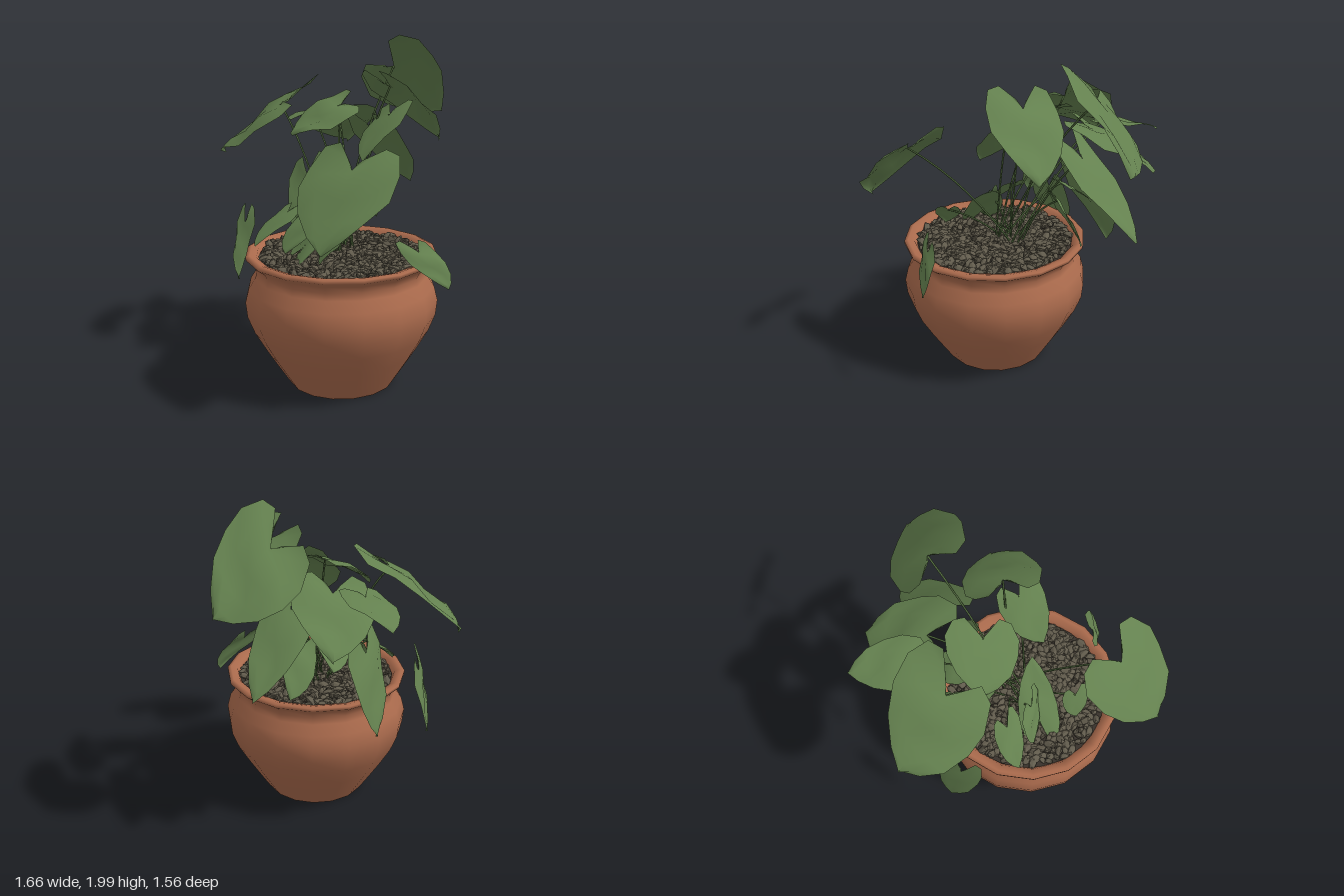
import * as THREE from 'three';
import { mergeGeometries } from 'three/addons/utils/BufferGeometryUtils.js';

const V = (x, y, z) => new THREE.Vector3(x, y, z);
const POT = { x: 0.11, z: 0.22 };

// Each leaf: notch point, tip point, half-width vector
const upperLeaves = [
  [-0.2, 1.78, -0.4, -0.17, 1.47, -0.77, 0.21, 0.18, -0.02],
  [0.11, 1.71, -0.13, 0.19, 1.38, -0.44, 0.21, 0.03, 0.04],
  [-0.2, 1.4, -0.26, -0.32, 1.0, -0.64, 0.15, 0.02, -0.05],
  [-0.36, 1.5, -0.1, -0.64, 1.26, -0.36, 0.15, 0.04, -0.17],
  [0.55, 1.37, 0.46, 0.68, 1.0, 0.75, 0.25, 0, -0.11],
  [-0.52, 1.5, -0.01, -0.83, 1.42, -0.12, 0.04, 0.03, -0.14],
  [-0.42, 1.58, 0.28, -0.8, 1.26, 0.46, 0.1, -0.12, 0.25],
  [-0.11, 1.59, 0.08, -0.23, 1.43, 0.33, 0.18, -0.05, 0.08],
  [0.18, 1.56, -0.07, 0.23, 1.33, 0.16, 0.13, 0.04, -0.03],
];
const lowerLeaves = [
  [-0.45, 1.12, 0.08, -0.6, 0.67, 0.03, 0.05, 0, 0.17],
  [-0.47, 0.88, 0.52, -0.55, 0.5, 0.53, 0.08, 0.04, 0.1],
  [0.63, 0.88, 0.07, 0.73, 0.67, -0.06, -0.02, 0.01, 0.11],
  [-0.12, 1.1, -0.12, -0.2, 0.85, -0.27, 0.06, 0.08, -0.08],
  [0.05, 1.0, 0.38, 0, 0.8, 0.53, 0.08, 0.02, -0.07],
  [0.08, 0.85, 0.45, 0.17, 1.13, 0.14, 0.11, -0.02, 0.05],
  [-0.15, 1.25, 0.14, -0.15, 1.03, 0.24, 0.09, 0, 0],
  [0.33, 0.94, 0.41, 0.3, 0.81, 0.5, 0.08, 0.02, 0.01],
  [-0.13, 1.0, 0.43, -0.15, 0.83, 0.64, 0.09, 0.02, -0.03],
  [-0.24, 1.14, 0.02, -0.38, 1.03, -0.1, 0.05, 0.04, -0.08],
];

// Heart outline: [edge u, edge half-width, midrib u]
const HEART = [
  [-0.12, 0.15, 0], [-0.33, 0.48, 0], [-0.27, 0.8, 0.05], [0, 1, 0.2],
  [0.3, 0.97, 0.4], [0.6, 0.74, 0.65], [0.84, 0.38, 0.88], [1, 0, 1],
];

function seeded(seed) {
  return () => (seed = (seed * 16807) % 2147483647) / 2147483647;
}

// Heart-shaped blade, folded at the midrib and drooping at the edges
function leafGeometry(base, tip, side) {
  const axis = tip.clone().sub(base);
  const normal = axis.clone().cross(side).normalize();
  if (normal.y < 0) normal.negate();
  const size = side.length();
  const positions = [], index = [];
  HEART.forEach(([edge, width, mid], i) => {
    for (let c = -2; c <= 2; c++) {
      const t = Math.abs(c) / 2;
      const u = mid + (edge - mid) * t;
      const v = (width * c) / 2;
      const lift = size * (0.25 * Math.abs(v) - 0.32 * v * v + 0.3 * u * (1 - u) + 0.05 * Math.sin(u * 9 + c));
      const p = base.clone().addScaledVector(axis, u).addScaledVector(side, v).addScaledVector(normal, lift);
      positions.push(p.x, p.y, p.z);
      if (i < HEART.length - 1 && c < 2) {
        const a = i * 5 + c + 2, b = a + 5;
        index.push(a, a + 1, b, b, a + 1, b + 1);
      }
    }
  });
  const g = new THREE.BufferGeometry();
  g.setAttribute('position', new THREE.Float32BufferAttribute(positions, 3));
  g.setIndex(index);
  g.computeVertexNormals();
  return g;
}

// Arched stalk from the soil to the leaf notch
function stemGeometry(base, rand) {
  const root = V(0.03 + (rand() - 0.5) * 0.14, 0.75, 0.16 + (rand() - 0.5) * 0.16);
  const bend = root.clone().lerp(base, 0.45);
  bend.y += 0.18 * (base.y - root.y) + 0.03;
  const curve = new THREE.QuadraticBezierCurve3(root, bend, base);
  return new THREE.TubeGeometry(curve, 8, 0.006, 5);
}

// Angular pebbles spread evenly over the soil
function gravelGeometry(rand) {
  const stones = [];
  const count = 520;
  for (let i = 0; i < count; i++) {
    const r = 0.46 * Math.sqrt((i + 0.5) / count);
    const a = i * 2.39996 + rand() * 0.05;
    const s = 0.02 + rand() * 0.016;
    const g = new THREE.IcosahedronGeometry(1, 0);
    g.applyMatrix4(new THREE.Matrix4().compose(
      V(POT.x + r * Math.cos(a), 0.762 + rand() * 0.018, POT.z + r * Math.sin(a)),
      new THREE.Quaternion().setFromEuler(new THREE.Euler(rand() * 1.6 - 0.8, rand() * 6.28, rand() * 1.6 - 0.8)),
      V(s * 1.35, s * 0.6, s * 0.8)));
    stones.push(g);
  }
  return mergeGeometries(stones);
}

export function createModel() {
  const group = new THREE.Group();
  const rand = seeded(4217);
  const material = (name, color, side = THREE.FrontSide) => {
    const m = new THREE.MeshStandardMaterial({ color, side });
    m.name = name;
    return m;
  };
  const terracotta = material('terracotta', 0xab6b4d);
  const leafGreen = material('leaf green', 0x64814f, THREE.DoubleSide);
  const stemGreen = material('stem green', 0x50693d);
  const pebble = material('pebble grey', 0x615b4c);
  const earth = material('dark earth', 0x37312a);
  const add = (name, geometry, mat, parent = group) => {
    const mesh = new THREE.Mesh(geometry, mat);
    mesh.name = name;
    parent.add(mesh);
    return mesh;
  };

  // Round-bellied pot with flared rim
  const profile = [
    [0, 0], [0.285, 0], [0.305, 0.002], [0.318, 0.02], [0.37, 0.1], [0.44, 0.21], [0.51, 0.33],
    [0.55, 0.43], [0.56, 0.52], [0.54, 0.6], [0.5, 0.66], [0.49, 0.7], [0.51, 0.74], [0.55, 0.77],
    [0.552, 0.79], [0.53, 0.797], [0.49, 0.785], [0.47, 0.74], [0.46, 0.7],
  ].map(([r, y]) => new THREE.Vector2(r, y));
  const pot = add('pot', new THREE.LatheGeometry(profile, 16), terracotta);
  pot.position.set(POT.x, 0, POT.z);

  // Soil and gravel
  const soil = add('soil', new THREE.CylinderGeometry(0.475, 0.46, 0.03, 24), earth);
  soil.position.set(POT.x, 0.748, POT.z);
  add('gravel', gravelGeometry(rand), pebble);

  // Leaves; all but the low ones hanging over the rim have a visible stem
  [['upperLeaf', upperLeaves], ['lowerLeaf', lowerLeaves]].forEach(([name, leaves]) => {
    leaves.forEach((n) => {
      const base = V(n[0], n[1], n[2]);
      const leaf = new THREE.Group();
      leaf.name = name;
      add('blade', leafGeometry(base, V(n[3], n[4], n[5]), V(n[6], n[7], n[8])), leafGreen, leaf);
      const overhangs = Math.hypot(base.x - POT.x, base.z - POT.z) > 0.5;
      if (leaves === upperLeaves || !overhangs) add('stem', stemGeometry(base, rand), stemGreen, leaf);
      group.add(leaf);
    });
  });
  return group;
}
